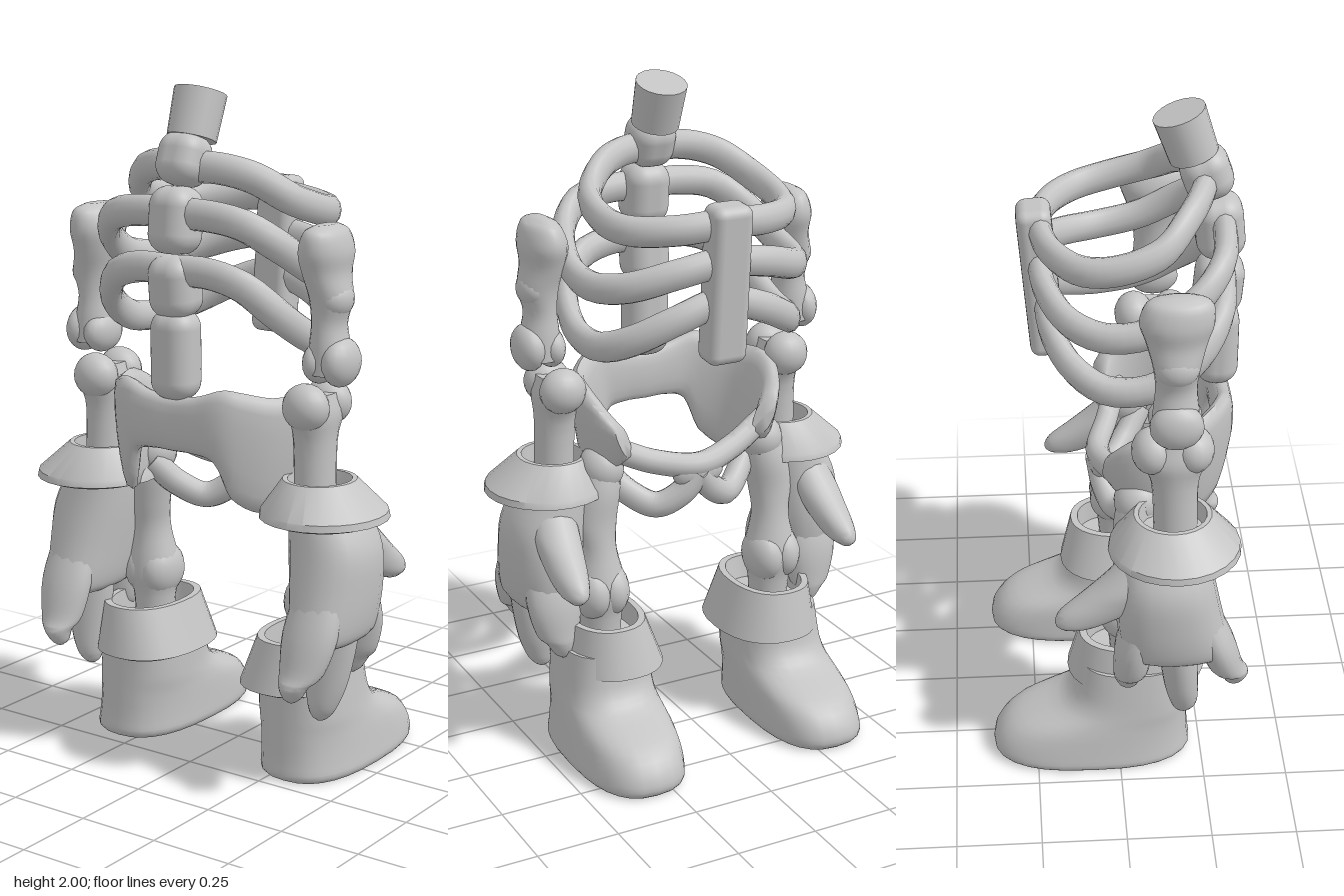
import * as THREE from 'three';
import { toCreasedNormals } from 'three/addons/utils/BufferGeometryUtils.js';
import { RoundedBoxGeometry } from 'three/addons/geometries/RoundedBoxGeometry.js';

const grey = new THREE.MeshStandardMaterial({ color: 0xc4c4c4 });
grey.name = 'bone grey';

function add(parent, name, geometry, x = 0, y = 0, z = 0) {
  const mesh = new THREE.Mesh(geometry, grey);
  mesh.name = name;
  mesh.position.set(x, y, z);
  parent.add(mesh);
  return mesh;
}

// Closed skin over rings of points, capped at both ends and turned outwards
function skin(rings, crease = 0.9) {
  const n = rings[0].length, pos = [], idx = [];
  rings.forEach(r => r.forEach(p => pos.push(p.x, p.y, p.z)));
  for (let i = 0; i < rings.length - 1; i++)
    for (let j = 0; j < n; j++) {
      const a = i * n + j, b = i * n + (j + 1) % n;
      idx.push(a, a + n, b, b, a + n, b + n);
    }
  [0, rings.length - 1].forEach((i, end) => {
    const c = new THREE.Vector3(), k = pos.length / 3;
    rings[i].forEach(p => c.addScaledVector(p, 1 / n));
    pos.push(c.x, c.y, c.z);
    for (let j = 0; j < n; j++) {
      const a = i * n + j, b = i * n + (j + 1) % n;
      end ? idx.push(a, k, b) : idx.push(a, b, k);
    }
  });
  const at = i => new THREE.Vector3().fromArray(pos, i * 3);
  let volume = 0;
  for (let i = 0; i < idx.length; i += 3)
    volume += at(idx[i]).dot(at(idx[i + 1]).cross(at(idx[i + 2])));
  if (volume < 0) idx.reverse();
  const g = new THREE.BufferGeometry();
  g.setAttribute('position', new THREE.Float32BufferAttribute(pos, 3));
  g.setIndex(idx);
  return toCreasedNormals(g, crease);
}

// Level rings from rows [y, x, z, half width, half depth]; s mirrors in x
function loft(s, rows, { smooth = 4, power = 2, sides = 20, crease = 0.9 } = {}) {
  const centre = new THREE.CatmullRomCurve3(rows.map(r => new THREE.Vector3(r[1], r[0], r[2])), false, 'catmullrom');
  const size = new THREE.CatmullRomCurve3(rows.map(r => new THREE.Vector3(r[3], r[4], 0)), false, 'catmullrom');
  const steps = (rows.length - 1) * smooth, rings = [];
  const bend = v => Math.sign(v) * Math.abs(v) ** (2 / power);
  for (let i = 0; i <= steps; i++) {
    const c = centre.getPoint(i / steps), r = size.getPoint(i / steps), ring = [];
    for (let j = 0; j < sides; j++) {
      const a = j / sides * Math.PI * 2;
      ring.push(new THREE.Vector3(s * (c.x + r.x * bend(Math.cos(a))), c.y, c.z + r.y * bend(Math.sin(a))));
    }
    rings.push(ring);
  }
  return skin(rings, crease);
}

// Oval bar along a path: thin sideways, taller upwards
function strap(points, thin, tall, closed) {
  const path = new THREE.CatmullRomCurve3(points.map(p => new THREE.Vector3(...p)), closed);
  const rings = [];
  for (let i = 0; i <= 64; i++) {
    const p = path.getPointAt(i / 64), t = path.getTangentAt(i / 64);
    const side = new THREE.Vector3(t.z, 0, -t.x).normalize(), up = new THREE.Vector3().crossVectors(t, side);
    rings.push(Array.from({ length: 12 }, (_, j) => {
      const a = j / 12 * Math.PI * 2;
      return p.clone().addScaledVector(side, thin * Math.cos(a)).addScaledVector(up, tall * Math.sin(a));
    }));
  }
  return skin(rings, 1.2);
}

function knob(parent, name, s, x, y, z, rx, ry, rz) {
  add(parent, name, new THREE.SphereGeometry(1, 18, 12), s * x, y, z).scale.set(rx, ry, rz);
}

const flip = ([x, ...rest]) => [-x, ...rest];

function buildTorso(root) {
  const g = new THREE.Group();
  g.name = 'torso';
  root.add(g);
  // Spine
  add(g, 'neck', new THREE.CylinderGeometry(0.076, 0.071, 0.135, 20), 0, 1.914, 0.204).rotation.x = -0.33;
  [[1.795, 0.262, 0.15, 0.14, -0.35], [1.63, 0.302, 0.19, 0.14, -0.1], [1.445, 0.305, 0.18, 0.14, 0.08], [1.25, 0.305, 0.26, 0.125, 0]]
    .forEach(([y, z, h, d, tilt]) => {
      add(g, 'vertebra', new RoundedBoxGeometry(0.14, h, d, 5, 0.055), 0, y, z).rotation.x = tilt;
    });
  // Ribs: half paths from the spine to the breastbone, mirrored into loops
  [
    [[0, 1.775, 0.26], [0.1, 1.775, 0.24], [0.19, 1.75, 0.195], [0.265, 1.69, 0.12], [0.283, 1.65, 0], [0.25, 1.635, -0.1], [0.14, 1.64, -0.18], [0, 1.65, -0.205]],
    [[0, 1.65, 0.31], [0.12, 1.65, 0.308], [0.225, 1.63, 0.29], [0.3, 1.57, 0.225], [0.337, 1.49, 0.1], [0.327, 1.465, -0.03], [0.265, 1.48, -0.13], [0.14, 1.52, -0.195], [0, 1.54, -0.205]],
    [[0, 1.49, 0.315], [0.12, 1.49, 0.31], [0.22, 1.46, 0.29], [0.295, 1.38, 0.225], [0.325, 1.3, 0.1], [0.31, 1.285, -0.03], [0.25, 1.32, -0.12], [0.14, 1.38, -0.18], [0, 1.42, -0.19]],
  ].forEach(half => {
    add(g, 'ribs', strap([...half, ...half.slice(1, -1).reverse().map(flip)], 0.034, 0.045, true));
  });
  // Breastbone
  add(g, 'breastbone', new RoundedBoxGeometry(0.125, 0.47, 0.1, 3, 0.03), 0, 1.475, -0.204).rotation.x = -0.08;
}

function buildPelvis(root) {
  const g = new THREE.Group();
  g.name = 'pelvis';
  root.add(g);
  // Curved basin: rows [x, z, bottom, top] from the back centre round to the front
  const half = [[0, 0.318, 0.97, 1.13], [0.08, 0.318, 0.97, 1.14], [0.15, 0.31, 0.95, 1.165], [0.19, 0.285, 0.85, 1.16],
    [0.25, 0.215, 0.8, 1.14], [0.285, 0.11, 0.82, 1.14], [0.275, 0.03, 0.87, 1.1], [0.235, -0.025, 0.93, 1.03]];
  const rows = [...half.slice(1).reverse().map(flip), ...half];
  const plan = new THREE.CatmullRomCurve3(rows.map(r => new THREE.Vector3(r[0], 0, r[1])));
  const edge = new THREE.CatmullRomCurve3(rows.map(r => new THREE.Vector3(r[2], r[3], 0)), false, 'catmullrom');
  const rings = [];
  for (let i = 0; i <= 56; i++) {
    const p = plan.getPoint(i / 56), t = plan.getTangent(i / 56), e = edge.getPoint(i / 56), ring = [];
    for (let j = 0; j < 16; j++) {
      const a = j / 16 * Math.PI * 2, v = Math.sin(a);
      const u = Math.sign(Math.cos(a)) * Math.abs(Math.cos(a)) ** 0.6 * 0.03;
      ring.push(new THREE.Vector3((p.x + t.z * u) * (1 + 0.08 * v), (e.x + e.y) / 2 + v * (e.y - e.x) / 2, p.z - t.x * u));
    }
    rings.push(ring);
  }
  add(g, 'basin', skin(rings, 1.2));
  // Front bar, joint and lower arches
  const bar = [[0.26, 0.95, 0.03], [0.13, 0.895, -0.01]];
  add(g, 'frontBar', strap([...bar.map(flip), [0, 0.875, -0.045], ...bar.reverse()], 0.034, 0.038, false));
  knob(g, 'frontJoint', 1, 0, 0.855, -0.04, 0.085, 0.055, 0.035);
  const arch = [[0.25, 0.86, 0.1], [0.19, 0.79, 0.05], [0.12, 0.752, 0], [0.055, 0.785, -0.03], [0, 0.85, -0.045]];
  for (const s of [-1, 1])
    add(g, 'lowerArch', strap(arch.map(([x, y, z]) => [s * x, y, z]), 0.036, 0.04, false));
}

function buildArm(root, s) {
  const g = new THREE.Group();
  g.name = s > 0 ? 'leftArm' : 'rightArm';
  root.add(g);
  // Upper arm bone with paired knuckles at the elbow
  add(g, 'upperArm', loft(s, [[1.635, 0.405, 0.155, 0.02, 0.05], [1.615, 0.405, 0.155, 0.05, 0.09], [1.56, 0.403, 0.15, 0.068, 0.103],
    [1.5, 0.405, 0.15, 0.062, 0.085], [1.43, 0.42, 0.15, 0.06, 0.066], [1.36, 0.415, 0.15, 0.048, 0.058], [1.29, 0.418, 0.15, 0.058, 0.064], [1.22, 0.42, 0.15, 0.062, 0.066]]));
  knob(g, 'elbowKnob', s, 0.455, 1.255, 0.15, 0.047, 0.07, 0.076);
  knob(g, 'elbowKnob', s, 0.39, 1.25, 0.15, 0.043, 0.062, 0.076);
  knob(g, 'shoulderKnob', s, 0.435, 1.43, 0.15, 0.048, 0.055, 0.062);
  // Forearm bone
  add(g, 'forearm', loft(s, [[1.16, 0.375, 0.15, 0.05, 0.08], [1.1, 0.375, 0.15, 0.065, 0.1], [1.02, 0.375, 0.155, 0.06, 0.068], [0.82, 0.38, 0.16, 0.058, 0.063]]));
  for (const z of [0.205, 0.09]) knob(g, 'forearmKnob', s, 0.375, 1.125, z, 0.07, 0.068, 0.06);
  // Flared cuff, hollow at the top
  add(g, 'gloveCuff', loft(s, [[0.8, 0.408, 0.155, 0.155, 0.165], [0.81, 0.408, 0.155, 0.184, 0.192], [0.83, 0.408, 0.155, 0.18, 0.188],
    [0.915, 0.388, 0.15, 0.104, 0.112], [0.915, 0.388, 0.15, 0.09, 0.098], [0.86, 0.39, 0.15, 0.085, 0.09]], { smooth: 1, sides: 24, crease: 0.6 }));
  // Palm, fingers and thumb
  add(g, 'palm', loft(s, [[0.83, 0.4, 0.125, 0.1, 0.125], [0.72, 0.43, 0.13, 0.122, 0.14], [0.6, 0.44, 0.14, 0.115, 0.155],
    [0.5, 0.443, 0.158, 0.1, 0.16], [0.46, 0.443, 0.162, 0.08, 0.15], [0.445, 0.442, 0.162, 0.04, 0.1]], { power: 2.3 }));
  [[0.22, 0.275, 0.338, 0.31], [0.16, 0.165, 0.188, 0.21], [0.075, 0.04, 0.022, 0.31]].forEach(([z0, z1, z2, tip]) => {
    add(g, 'finger', loft(s, [[0.64, 0.445, z0, 0.07, 0.05], [0.5, 0.443, z1, 0.086, 0.056], [(0.48 + tip) / 2, 0.437, z1 * 0.45 + z2 * 0.55, 0.068, 0.052],
      [tip + 0.05, 0.43, z2, 0.045, 0.042], [tip + 0.015, 0.424, z2, 0.028, 0.028], [tip, 0.422, z2, 0.01, 0.01]]));
  });
  add(g, 'thumb', loft(s, [[0.79, 0.43, 0.07, 0.06, 0.06], [0.72, 0.44, 0.02, 0.068, 0.08], [0.67, 0.445, -0.025, 0.062, 0.095], [0.62, 0.45, -0.08, 0.052, 0.1],
    [0.585, 0.453, -0.125, 0.04, 0.068], [0.565, 0.455, -0.145, 0.016, 0.03]]));
}

function buildLeg(root, s) {
  const g = new THREE.Group();
  g.name = s > 0 ? 'leftLeg' : 'rightLeg';
  root.add(g);
  // Leg bone with hip ball and paired knuckles
  add(g, 'legBone', loft(s, [[0.92, 0.27, 0.06, 0.05, 0.05], [0.82, 0.285, 0.055, 0.068, 0.068], [0.72, 0.3, 0.05, 0.068, 0.062],
    [0.63, 0.297, 0.04, 0.058, 0.06], [0.5, 0.295, 0.035, 0.085, 0.08], [0.42, 0.292, 0.035, 0.065, 0.065], [0.25, 0.29, 0.04, 0.055, 0.055]]));
  knob(g, 'hipBall', s, 0.27, 0.88, 0.06, 0.068, 0.072, 0.072);
  for (const x of [0.268, 0.325]) knob(g, 'kneeKnob', s, x, 0.5, 0.03, 0.06, 0.085, 0.085);
  // Boot rows [height, heel z, toe z, half width]
  const rows = [[0, 0.205, -0.365, 0.145], [0.015, 0.218, -0.38, 0.155], [0.04, 0.216, -0.382, 0.154], [0.08, 0.212, -0.365, 0.151],
    [0.12, 0.21, -0.325, 0.148], [0.15, 0.208, -0.26, 0.145], [0.18, 0.206, -0.185, 0.143], [0.21, 0.204, -0.15, 0.141],
    [0.25, 0.202, -0.13, 0.139], [0.34, 0.2, -0.115, 0.134]];
  add(g, 'boot', loft(s, rows.map(([y, b, f, w]) => [y, 0.308 - y * 0.05, (b + f) / 2, w, (b - f) / 2]), { smooth: 2, power: 2.6, sides: 28 }));
  // Folded boot cuff, hollow at the top
  add(g, 'bootCuff', loft(s, [[0.265, 0.268, 0.055, 0.135, 0.185], [0.275, 0.268, 0.055, 0.157, 0.207], [0.42, 0.285, 0.055, 0.12, 0.172],
    [0.42, 0.285, 0.055, 0.1, 0.15], [0.35, 0.285, 0.05, 0.095, 0.14]], { smooth: 1, power: 2.3, sides: 28, crease: 0.6 }));
}

export function createModel() {
  const root = new THREE.Group();
  root.name = 'skeletonBody';
  buildTorso(root);
  buildPelvis(root);
  for (const s of [-1, 1]) {
    buildArm(root, s);
    buildLeg(root, s);
  }
  return root;
}
